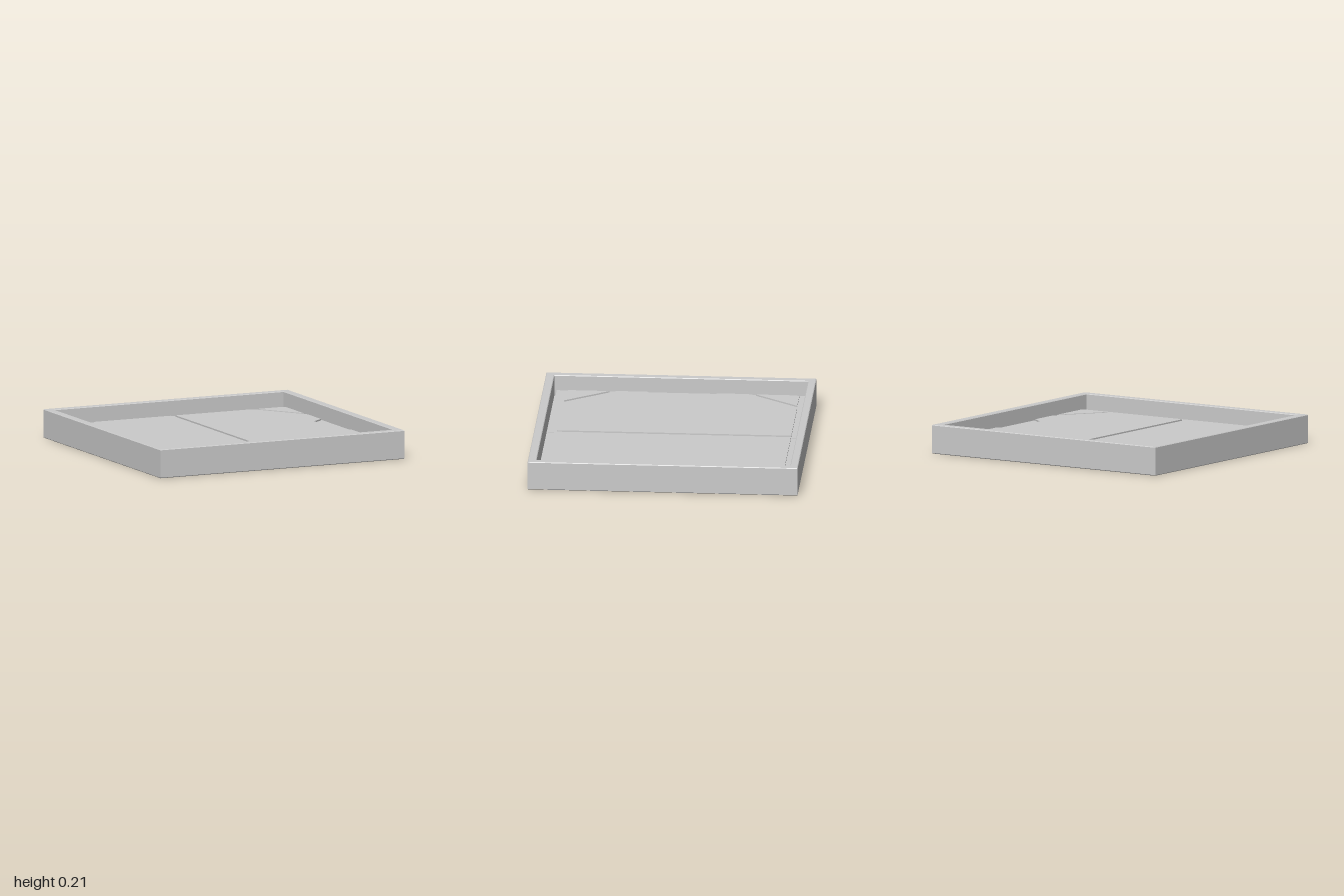
import * as THREE from 'three';

const material = new THREE.MeshStandardMaterial({ color: 0xcccccc, flatShading: true });
const CENTRE = 0.006; // x of the slit between the two panels

// Outline from [x, z] pairs, lying flat when extruded by slab()
const outline = (points, Type = THREE.Shape) =>
  new Type(points.map(([x, z]) => new THREE.Vector2(x, -z)));
const rect = (x0, x1, z0, z1) => [[x0, z0], [x1, z0], [x1, z1], [x0, z1]];

// Horizontal slab between two heights, with an optional hole and edge bevel
function slab(name, points, y0, y1, hole, bevel = 0) {
  const shape = outline(points);
  // holes wind the opposite way, so their walls face inwards
  if (hole) shape.holes.push(outline([...hole].reverse(), THREE.Path));
  const geometry = new THREE.ExtrudeGeometry(shape, {
    depth: y1 - y0 - 2 * bevel,
    bevelEnabled: bevel > 0,
    bevelThickness: bevel, bevelSize: bevel, bevelOffset: -bevel, bevelSegments: 1,
  });
  geometry.rotateX(-Math.PI / 2).translate(0, y0 + bevel, 0);
  const mesh = new THREE.Mesh(geometry, material);
  mesh.name = name;
  return mesh;
}

export function createModel() {
  const model = new THREE.Group();
  model.name = 'panelTray';
  const floorTop = 0.055, grooveBottom = 0.07, panelTop = 0.1, plateTop = 0.111;

  // Tray: square rim and a floor with a chamfered opening
  const h = 0.46, c = 0.045;
  const opening = [[-h + c, -h], [h - c, -h], [h, -h + c], [h, h - c],
    [h - c, h], [-h + c, h], [-h, h - c], [-h, -h + c]];
  model.add(
    slab('rim', rect(-1, 1, -1, 1), 0, 0.215, rect(-0.939, 0.939, -0.942, 0.937), 0.005),
    slab('floor', rect(-0.97, 0.97, -0.97, 0.97), 0, floorTop, opening),
  );

  // Two mirrored panels that meet below a groove, each with a notched plate and two corner pads
  const base = rect(-0.932, CENTRE, -0.922, 0.919);
  const top = rect(-0.932, 0.001, -0.922, 0.919);
  const plate = [[-0.64, -0.882], [-0.014, -0.882], [-0.014, 0.852], [-0.64, 0.852],
    [-0.914, 0.472], [-0.914, 0.245], [-0.825, 0.175], [-0.825, -0.204],
    [-0.914, -0.274], [-0.914, -0.502]];
  const pad = [[-0.909, -0.558], [-0.909, -0.86], [-0.89, -0.88], [-0.679, -0.88]];
  const frontPad = pad.map(([x, z]) => [x, -0.032 - z]);

  for (const side of ['right', 'left']) {
    const place = (points) => side === 'right' ? points
      : points.map(([x, z]) => [2 * CENTRE - x, z]).reverse();
    const group = new THREE.Group();
    group.name = side + 'Panel';
    group.add(
      slab('panelBase', place(base), floorTop, grooveBottom),
      slab('panelTop', place(top), grooveBottom, panelTop),
      slab('raisedPlate', place(plate), panelTop, plateTop),
      slab('backCornerPad', place(pad), panelTop, plateTop),
      slab('frontCornerPad', place(frontPad), panelTop, plateTop),
    );
    model.add(group);
  }
  return model;
}
